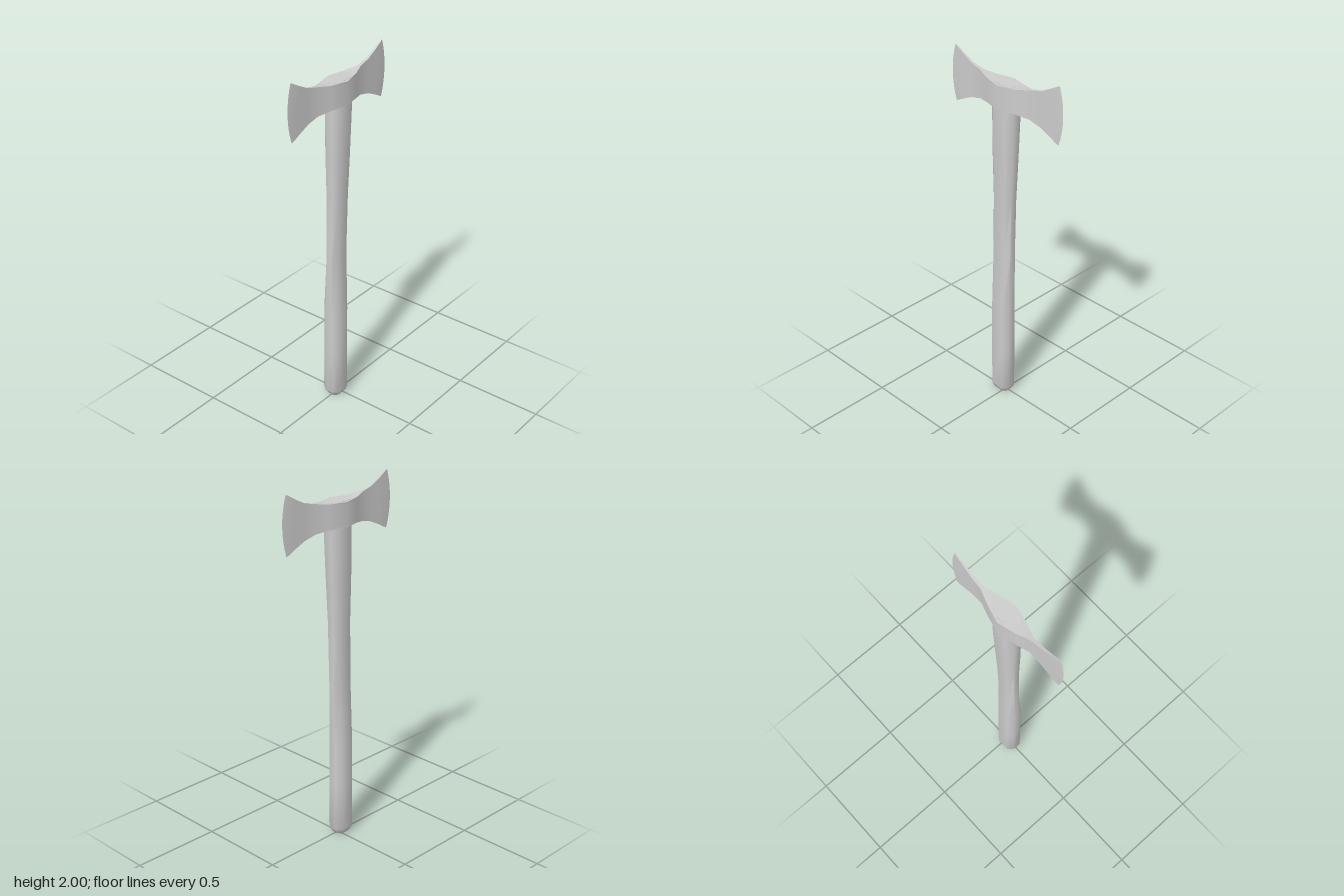
import * as THREE from 'three';
import { toCreasedNormals } from 'three/addons/utils/BufferGeometryUtils.js';

// Skin a row of closed rings (counter-clockwise seen from the far end), optionally capped
function loft(rings, capped, crease) {
  const n = rings[0].length, pos = rings.flat(2), index = [];
  for (let i = 0; i < rings.length - 1; i++) {
    for (let j = 0; j < n; j++) {
      const a = i * n + j, b = i * n + (j + 1) % n;
      index.push(a, b, b + n, a, b + n, a + n);
    }
  }
  if (capped) {
    const last = (rings.length - 1) * n;
    for (let j = 1; j < n - 1; j++) {
      index.push(0, j + 1, j, last, last + j, last + j + 1);
    }
  }
  const geo = new THREE.BufferGeometry();
  geo.setAttribute('position', new THREE.Float32BufferAttribute(pos, 3));
  geo.setIndex(index);
  return toCreasedNormals(geo, crease);
}

// Eight-sided handle ring: a rectangle with cut corners
function handleRing([y, left, right, depth]) {
  const cx = (left + right) / 2, w = (right - left) / 2;
  const k = 0.58, d = 0.45;
  return [[1, d], [k, 1], [-k, 1], [-1, d], [-1, -d], [-k, -1], [k, -1], [1, -d]]
    .map(([u, v]) => [cx + u * w, y, -v * depth]);
}

// Head ring at one station: front rows downward, then back rows upward
function headRing([x, top, bottom, depth, bulge], side) {
  const rows = 8, ring = [];
  const point = (t, s) => [
    side * x + side * bulge * (1 - (2 * t - 1) ** 2),
    bottom + (top - bottom) * t,
    s * depth,
  ];
  for (let i = rows; i >= 0; i--) ring.push(point(i / rows, 1));
  for (let i = 0; i <= rows; i++) ring.push(point(i / rows, -1));
  return ring;
}

export function createModel() {
  const group = new THREE.Group();
  const material = new THREE.MeshStandardMaterial({ color: 0xcccccc });
  const add = (name, geometry) => {
    const mesh = new THREE.Mesh(geometry, material);
    mesh.name = name;
    group.add(mesh);
  };

  // Handle: y, left edge, right edge, half depth
  const handle = [
    [0, -0.058, 0.02, 0.033],
    [0.012, -0.068, 0.03, 0.042],
    [0.035, -0.085, 0.042, 0.051],
    [0.3, -0.085, 0.043, 0.051],
    [0.57, -0.084, 0.045, 0.05],
    [0.9, -0.077, 0.05, 0.037],
    [1.25, -0.071, 0.057, 0.041],
    [1.5, -0.075, 0.069, 0.047],
    [1.75, -0.075, 0.08, 0.051],
    [1.907, -0.075, 0.083, 0.043],
  ];
  add('handle', loft(handle.map(handleRing), true, 0.9));

  // Double-bladed head: x, top, bottom, half depth, edge bulge
  const half = [
    [0, 1.905, 1.775, 0.061, 0],
    [0.1, 1.907, 1.773, 0.035, 0],
    [0.17, 1.918, 1.762, 0.01, 0],
    [0.24, 1.935, 1.745, 0.007, 0],
    [0.3, 1.966, 1.717, 0.005, 0.008],
    [0.345, 1.992, 1.693, 0.003, 0.022],
    [0.36, 2.0, 1.685, 0, 0.026],
  ];
  const rings = [
    ...half.slice(1).reverse().map((s) => headRing(s, -1)),
    ...half.map((s) => headRing(s, 1)),
  ];
  add('axeHead', loft(rings, false, 0.7));

  return group;
}
